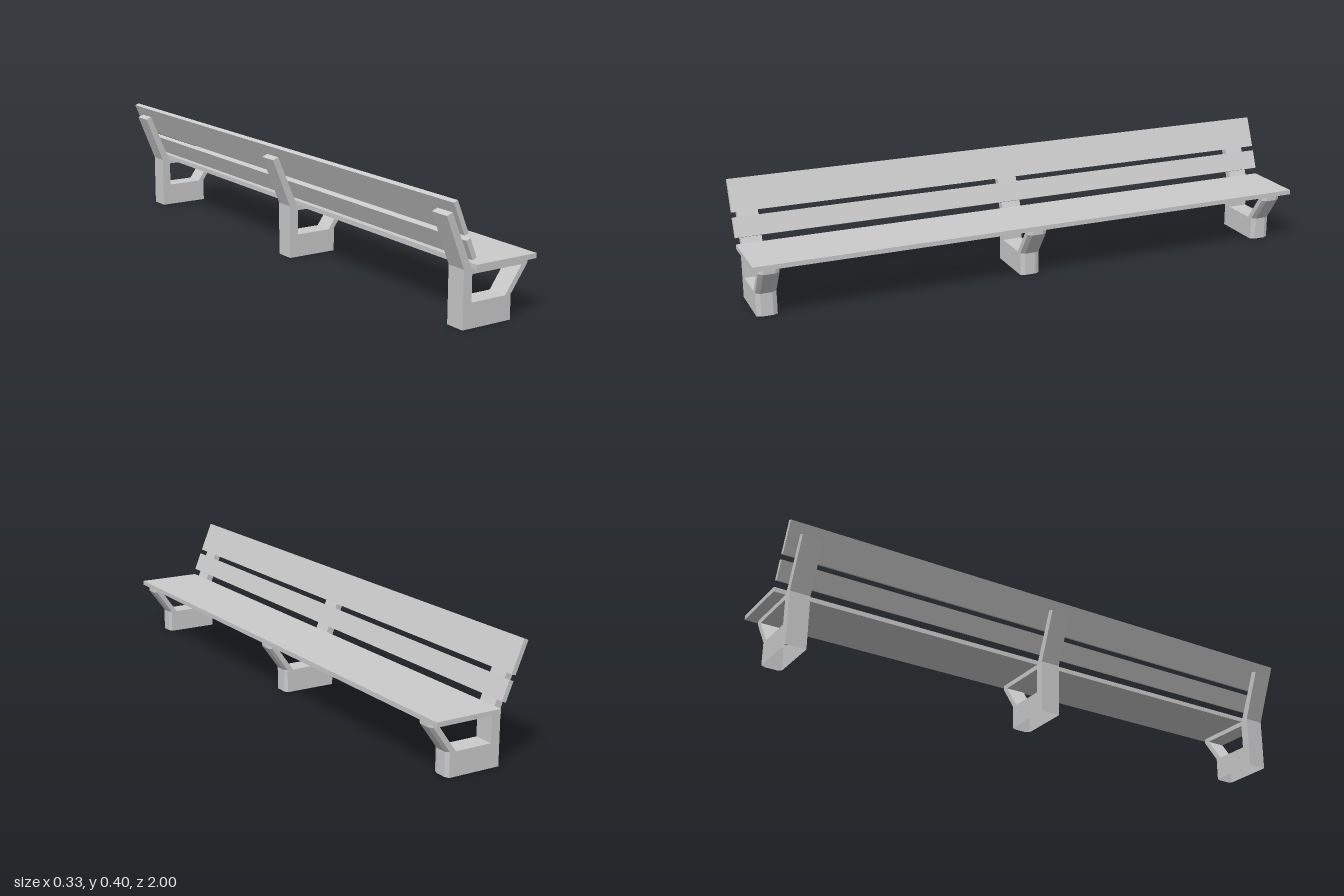
import * as THREE from 'three';

const LENGTH = 2, SUPPORT = 0.07;

function makeShape(points) {
  return new THREE.Shape(points.map(([x, y]) => new THREE.Vector2(x, y)));
}

function extrude(shape, depth) {
  return new THREE.ExtrudeGeometry(shape, { depth, bevelEnabled: false }).translate(0, 0, -depth / 2);
}

// Leaves the foot of a support open underneath
function openBottom(geometry) {
  const src = geometry.index ? geometry.toNonIndexed() : geometry;
  const p = src.attributes.position, kept = [];
  for (let i = 0; i < p.count; i += 3) {
    if (Math.max(p.getY(i), p.getY(i + 1), p.getY(i + 2)) < 1e-4) continue;
    for (let k = i; k < i + 3; k++) kept.push(p.getX(k), p.getY(k), p.getZ(k));
  }
  const out = new THREE.BufferGeometry();
  out.setAttribute('position', new THREE.Float32BufferAttribute(kept, 3));
  out.computeVertexNormals();
  return out;
}

// Chamfered front edge: a trapezoid section carried up the front of the support
function chamferStrip(back, front) {
  const w = SUPPORT / 2, c = 0.015, pos = [], index = [];
  back.forEach(([bx, by], i) => {
    const [fx, fy] = front[i];
    pos.push(bx, by, w, fx, fy, w - c, fx, fy, c - w, bx, by, -w);
  });
  for (let i = 0; i < back.length - 1; i++) {
    for (let k = 0; k < 3; k++) {
      const a = i * 4 + k, b = a + 1;
      index.push(a, b, b + 4, a, b + 4, a + 4);
    }
  }
  const top = (back.length - 1) * 4;
  index.push(top, top + 1, top + 2, top, top + 2, top + 3);
  const g = new THREE.BufferGeometry();
  g.setAttribute('position', new THREE.Float32BufferAttribute(pos, 3));
  g.setIndex(index);
  const flat = g.toNonIndexed();
  flat.computeVertexNormals();
  return flat;
}

export function createModel() {
  const bench = new THREE.Group();
  bench.name = 'bench';
  const material = new THREE.MeshStandardMaterial({ color: 0xcccccc, flatShading: true });
  const supportMaterial = material.clone();
  supportMaterial.side = THREE.DoubleSide;

  const add = (parent, name, geometry, mat) => {
    const mesh = new THREE.Mesh(geometry, mat);
    mesh.name = name;
    parent.add(mesh);
  };

  // Full-length planks, each given by its end section
  const planks = {
    seat: [[-0.068, 0.184], [0.165, 0.184], [0.165, 0.2], [-0.068, 0.2]],
    lowerBackPlank: [[-0.084, 0.216], [-0.07, 0.222], [-0.095, 0.285], [-0.11, 0.278]],
    upperBackPlank: [[-0.117, 0.295], [-0.102, 0.3], [-0.145, 0.403], [-0.16, 0.397]],
  };
  for (const [name, section] of Object.entries(planks)) {
    add(bench, name, extrude(makeShape(section), LENGTH), material);
  }

  // Support frame with a window, and a post leaning back behind the planks
  const frontInner = [[0.085, 0], [0.085, 0.081], [0.147, 0.168], [0.147, 0.184]];
  const frontOuter = [[0.092, 0], [0.092, 0.079], [0.155, 0.166], [0.155, 0.184]];
  const frame = makeShape([
    [-0.099, 0], ...frontInner, [-0.07, 0.184], [-0.146, 0.363], [-0.167, 0.355], [-0.099, 0.185],
  ]);
  frame.holes.push(makeShape([[-0.067, 0.08], [-0.067, 0.167], [0.125, 0.167], [0.063, 0.08]]));
  const frameGeometry = openBottom(extrude(frame, SUPPORT));
  const edgeGeometry = chamferStrip(frontInner, frontOuter);

  for (const z of [0.945, 0.015, -0.925]) {
    const support = new THREE.Group();
    support.name = 'support';
    support.position.z = z;
    add(support, 'supportFrame', frameGeometry, supportMaterial);
    add(support, 'supportFrontEdge', edgeGeometry, supportMaterial);
    bench.add(support);
  }
  return bench;
}
